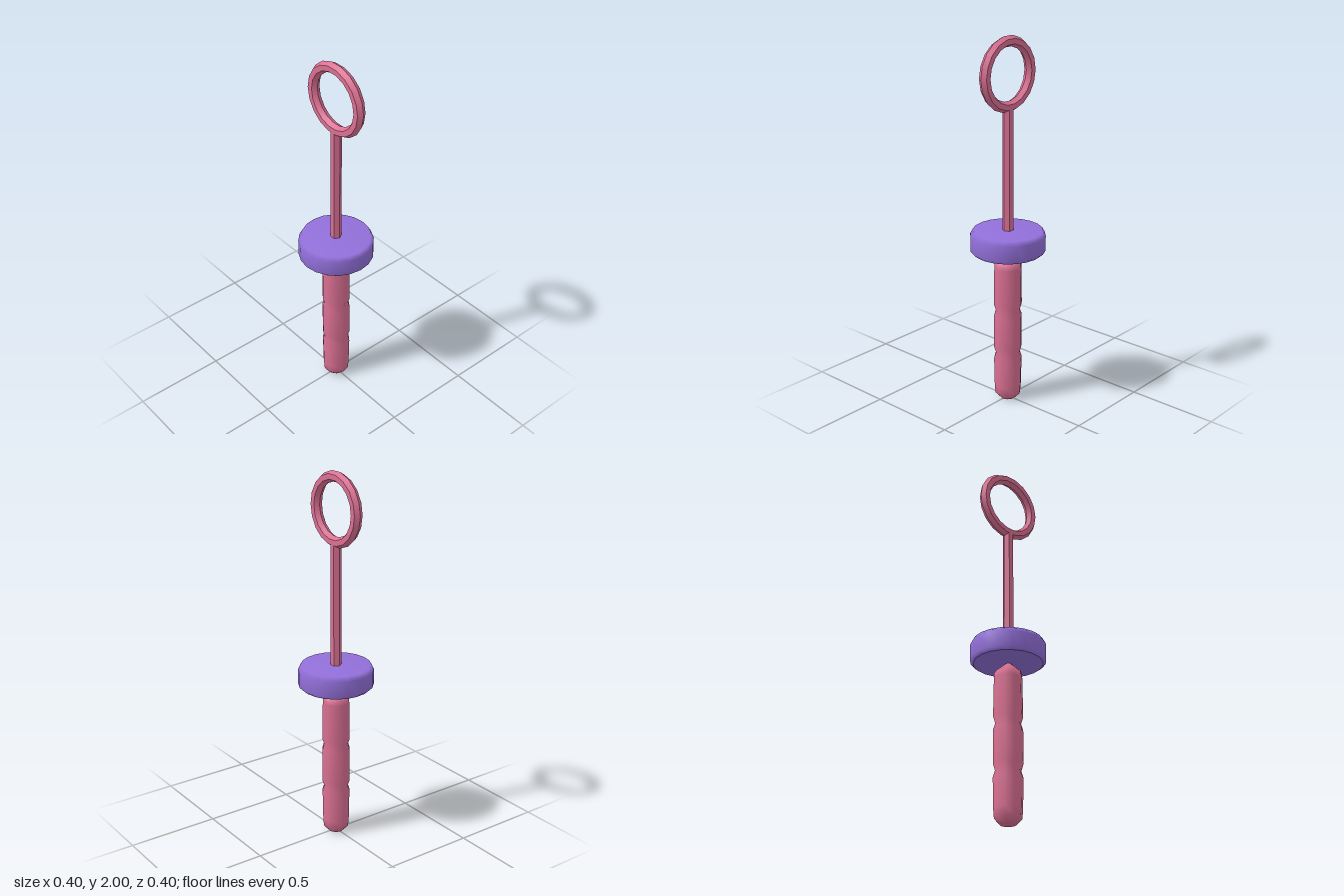
import * as THREE from 'three';
import { toCreasedNormals } from 'three/addons/utils/BufferGeometryUtils.js';

const lathe = (points, sides) =>
  new THREE.LatheGeometry(points.map(([r, y]) => new THREE.Vector2(r, y)), sides).rotateY(Math.PI / 2);

export function createModel() {
  const model = new THREE.Group();
  model.name = 'bubbleWand';
  const pink = new THREE.MeshStandardMaterial({ color: 0xdb7093 });
  pink.name = 'pink';
  const purple = new THREE.MeshStandardMaterial({ color: 0x9370db });
  purple.name = 'purple';

  const add = (name, geometry, material) => {
    const mesh = new THREE.Mesh(geometry, material);
    mesh.name = name;
    model.add(mesh);
    return mesh;
  };

  // Handle: rounded end, two finger grooves, pointed shoulder
  const handle = [[0, 0], [0.042, 0], [0.07, 0.03], [0.074, 0.08]];
  for (const y of [0.275, 0.525]) {
    handle.push([0.077, y - 0.035], [0.066, y], [0.077, y + 0.035]);
  }
  handle.push([0.074, 0.77], [0.072, 0.805], [0.012, 0.855], [0, 0.86]);
  add('handle', lathe(handle, 10), pink);

  // Round cap with softened rim and a flat underside
  add('cap', lathe([[0.183, 0.855], [0.2, 0.87], [0.2, 0.955], [0.186, 0.98], [0, 0.98]], 20), purple);
  add('capUnderside', lathe([[0, 0.855], [0.183, 0.855]], 20), purple);

  // Hexagonal rod
  const rod = new THREE.CylinderGeometry(0.029, 0.029, 0.69, 6, 1, false, Math.PI / 2);
  add('rod', toCreasedNormals(rod, 0.7), pink).position.y = 1.295;

  // Loop with a hexagonal section
  const ring = new THREE.TorusGeometry(0.171, 0.029, 6, 18).scale(1, 0.98, 1);
  add('ring', toCreasedNormals(ring, 0.7), pink).position.y = 1.807;

  return model;
}
